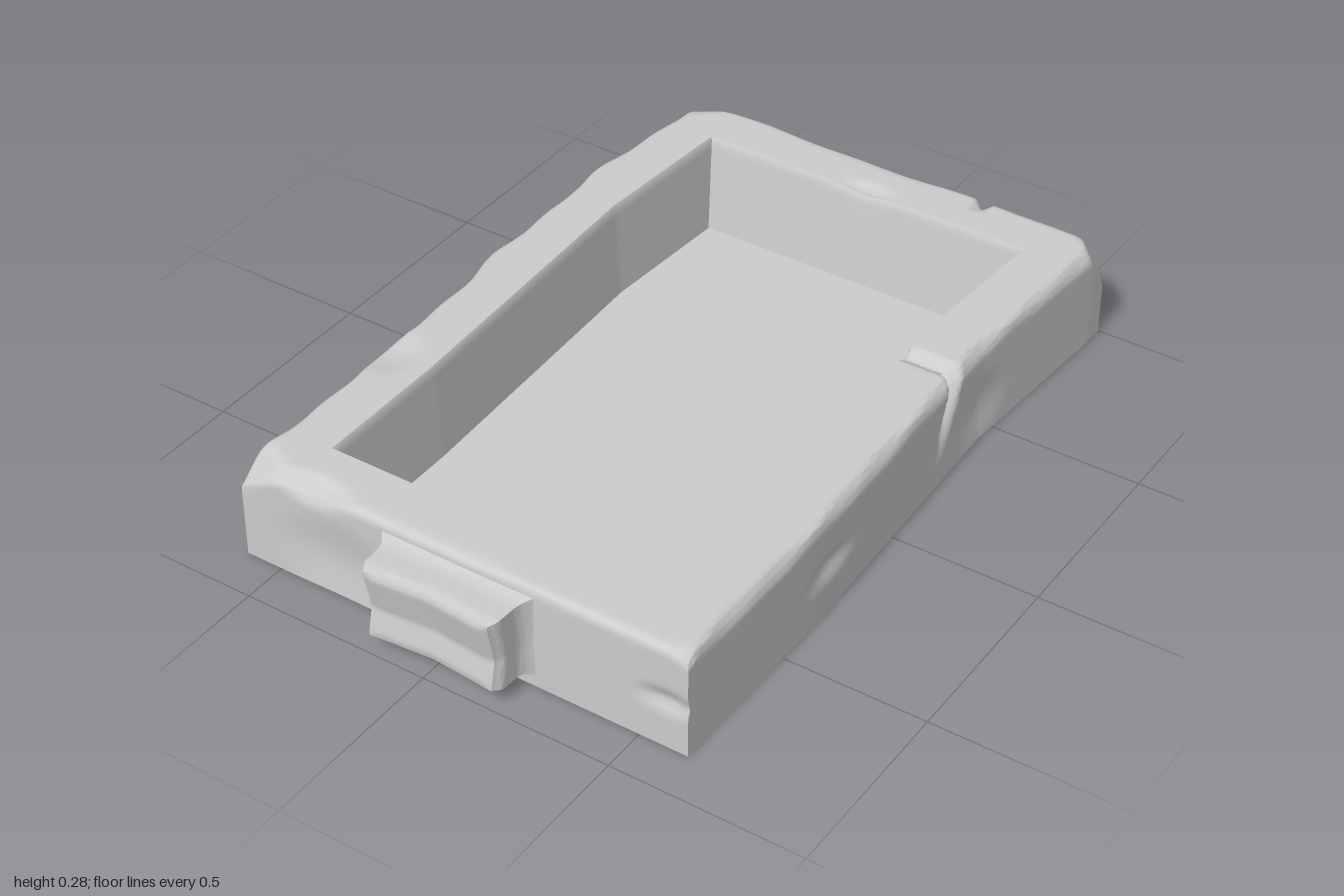
import * as THREE from 'three';
import { toCreasedNormals } from 'three/addons/utils/BufferGeometryUtils.js';

const H = 0.28;
const FLOOR_Y = 0.022;
const OUTER = [-0.6, 0.627, -1, 0.882];   // x min, x max, z min, z max
const INNER = [-0.442, 0.477, -0.845, 0.73];
const FLOOR = [-0.425, 0.455, -0.81, 0.69];
const FAR = 1e6;
const mix = THREE.MathUtils.lerp;
const smooth = THREE.MathUtils.smoothstep;
const tent = (v, centre, halfWidth) => Math.max(0, 1 - Math.abs(v - centre) / halfWidth);

// Broken corner: softly flattens what lies beyond a plane cutting the corner at distances a, b, c
function chip(p, x, z, a, b, c) {
  const sx = Math.sign(x), sz = Math.sign(z), e = 0.01;
  const g = new THREE.Vector3(-sx / a, -1 / b, -sz / c);
  const d = (1 - (x - p.x) * sx / a - (H - p.y) / b - (z - p.z) * sz / c) / g.length();
  if (d > -e) p.addScaledVector(g.normalize(), d > e ? d : (d + e) ** 2 / (4 * e));
}

// Soft dents: centre, radii, push direction
const DENTS = [
  [[0.57, 0.13, 0.88], [0.1, 0.035, 0.06], [0, 0, -0.016]],
  [[-0.32, 0.1, 0.88], [0.22, 0.13, 0.06], [0, 0, -0.012]],
  [[0.62, 0.13, 0.3], [0.06, 0.045, 0.13], [-0.014, 0, 0]],
  [[0.62, 0.1, -0.42], [0.06, 0.11, 0.16], [-0.01, 0, 0]],
  [[-0.62, 0.19, -0.6], [0.08, 0.08, 0.12], [0.02, 0, 0]],
  [[-0.62, 0.14, -0.3], [0.08, 0.07, 0.13], [0.022, 0, 0]],
  [[-0.61, 0.18, -0.06], [0.08, 0.08, 0.11], [0.02, 0, 0]],
  [[-0.61, 0.13, 0.2], [0.08, 0.07, 0.15], [0.018, 0, 0]],
  [[0.02, 0.28, -0.86], [0.1, 0.06, 0.04], [0, -0.012, 0]],
  [[-0.56, 0.28, 0.37], [0.08, 0.08, 0.1], [0.008, -0.012, 0]],
  [[-0.4, 0.28, 0.87], [0.14, 0.06, 0.05], [0, -0.02, -0.01]],
];

function weather(p) {
  // Worn corners
  chip(p, -0.6, -1, 0.14, 0.1, 0.1);
  chip(p, 0.627, -1, 0.08, 0.13, 0.09);
  chip(p, -0.6, 0.882, 0.16, 0.08, 0.1);
  chip(p, 0.627, 0.882, 0.05, 0.03, 0.04);
  // Worn top edges, uneven along their length
  const wz = Math.sin(p.z * 13) + Math.sin(p.z * 27 + 1) * 0.7;
  const wx = Math.sin(p.x * 9 + 2) + Math.sin(p.x * 21) * 0.5;
  chip(p, -0.6, -1, 0.024 + wz * 0.007, 0.038 + wz * 0.012, FAR);
  chip(p, 0.627, -1, 0.018 + wz * 0.005, 0.023 + wz * 0.005, FAR);
  chip(p, -0.6, 0.882, FAR, 0.012, 0.014 + wx * 0.003);
  chip(p, -0.6, -1, FAR, 0.03 + wx * 0.006, 0.025 + wx * 0.005);
  for (const [c, r, d] of DENTS) {
    const q = ((p.x - c[0]) / r[0]) ** 2 + ((p.y - c[1]) / r[1]) ** 2 + ((p.z - c[2]) / r[2]) ** 2;
    if (q < 1) p.addScaledVector(new THREE.Vector3(...d), (1 - q) ** 2);
  }
  // Slanted crack through the long side
  if (p.x > 0.4) {
    const w = tent(p.z, -0.31 + (H - p.y) * 0.45, 0.032) * smooth(p.y, 0.06, 0.25);
    p.x -= 0.035 * w * smooth(p.x, 0.52, 0.6);
    p.y -= 0.022 * w * (p.y / H) ** 3;
  }
  // Short crack in the back edge
  const back = smooth(-p.z, 0.92, 0.98);
  const w = tent(p.x, 0.29 + (H - p.y) * 0.15, 0.028) * smooth(p.y, 0.1, 0.25) * back;
  p.z += 0.025 * w;
  p.y -= 0.015 * w;
  // Long sides kink towards -x behind the middle
  p.x -= 0.033 * (p.z < -0.44 ? tent(p.z, -0.44, 0.5) : tent(p.z, -0.44, 0.8));
  return p;
}

// Point on a rectangle's edge: side 0 front, 1 +x, 2 back, 3 -x
function onRect([x0, x1, z0, z1], side, t) {
  return [[mix(x0, x1, t), z1], [x1, mix(z1, z0, t)], [mix(x1, x0, t), z0], [x0, mix(z0, z1, t)]][side];
}

function basinGeometry() {
  // Section from the underside centre, up the wall, over the rim and down to the floor centre
  const rows = [];
  const add = (from, to, k, y0, y1, n) => {
    for (let i = 0; i < n; i++) rows.push([from, to, mix(k[0], k[1], i / n), mix(y0, y1, i / n)]);
  };
  const centre = [0, 0, -0.06, -0.06];
  add(centre, OUTER, [0, 1], 0, 0, 4);
  add(OUTER, INNER, [0, 0], 0, 0.2, 13);
  add(OUTER, INNER, [0, 0], 0.2, H, 9);
  add(OUTER, INNER, [0, 0.3], H, H, 6);
  add(OUTER, INNER, [0.3, 0.97], H, H, 9);
  add(OUTER, INNER, [0.97, 1], H, 0.272, 1);
  add(INNER, FLOOR, [0, 1], 0.272, FLOOR_Y, 12);
  add(FLOOR, centre, [0, 1], FLOOR_Y, FLOOR_Y, 6);
  rows.push([FLOOR, centre, 1, FLOOR_Y]);

  const columns = [];
  [110, 180, 140, 180].forEach((n, side) => {
    for (let i = 0; i < n; i++) columns.push([side, i / n]);
  });

  const position = [], index = [], n = columns.length, last = rows.length - 2;
  rows.forEach(([from, to, k, y], r) => columns.forEach(([side, t], c) => {
    const a = onRect(from, side, t), b = onRect(to, side, t);
    const p = weather(new THREE.Vector3(mix(a[0], b[0], k), y, mix(a[1], b[1], k)));
    position.push(p.x, p.y, p.z);
    if (r > last) return;
    const d = (c + 1) % n, i0 = r * n, i1 = i0 + n;
    if (r > 0) index.push(i0 + c, i0 + d, i1 + d);
    if (r < last) index.push(i0 + c, i1 + d, i1 + c);
  }));
  const g = new THREE.BufferGeometry();
  g.setAttribute('position', new THREE.Float32BufferAttribute(position, 3));
  g.setIndex(index);
  return toCreasedNormals(g, 0.95);
}

// Block on the front: flared into the wall, with rounded edges and a creased, hollow face
function frontBlockGeometry() {
  const g = new THREE.BoxGeometry(2, 2, 1, 28, 20, 20);
  const pos = g.attributes.position;
  for (let i = 0; i < pos.count; i++) {
    const u = pos.getX(i), v = pos.getY(i), w = pos.getZ(i) + 0.5;
    const flare = 0.04 * Math.max(0, 1 - w / 0.45) ** 2;
    const round = 0.012 * smooth(w, 0.8, 1);
    const edge = Math.max(Math.abs(u), Math.abs(v));
    // Hollow runs across the whole face and pinches the sides with it
    const hollow = 0.022 * tent(v, -0.2, 1.1) + 0.014 * tent(u, 0, 1);
    const z = 1.006 - hollow - 0.006 * smooth(edge, 0.85, 1);
    pos.setXYZ(i,
      0.017 + u * (0.187 + flare - round - 0.006 * w),
      0.144 + v * (0.1 + flare * 0.5 - round * 0.5),
      mix(0.865, z, w));
  }
  return toCreasedNormals(g, 0.8);
}

export function createModel() {
  const model = new THREE.Group();
  model.name = 'stoneBasin';
  const stone = new THREE.MeshStandardMaterial({ color: 0xcccccc });
  const part = (name, geometry) => {
    const mesh = new THREE.Mesh(geometry, stone);
    mesh.name = name;
    model.add(mesh);
  };
  part('basin', basinGeometry());
  part('frontBlock', frontBlockGeometry());
  return model;
}
